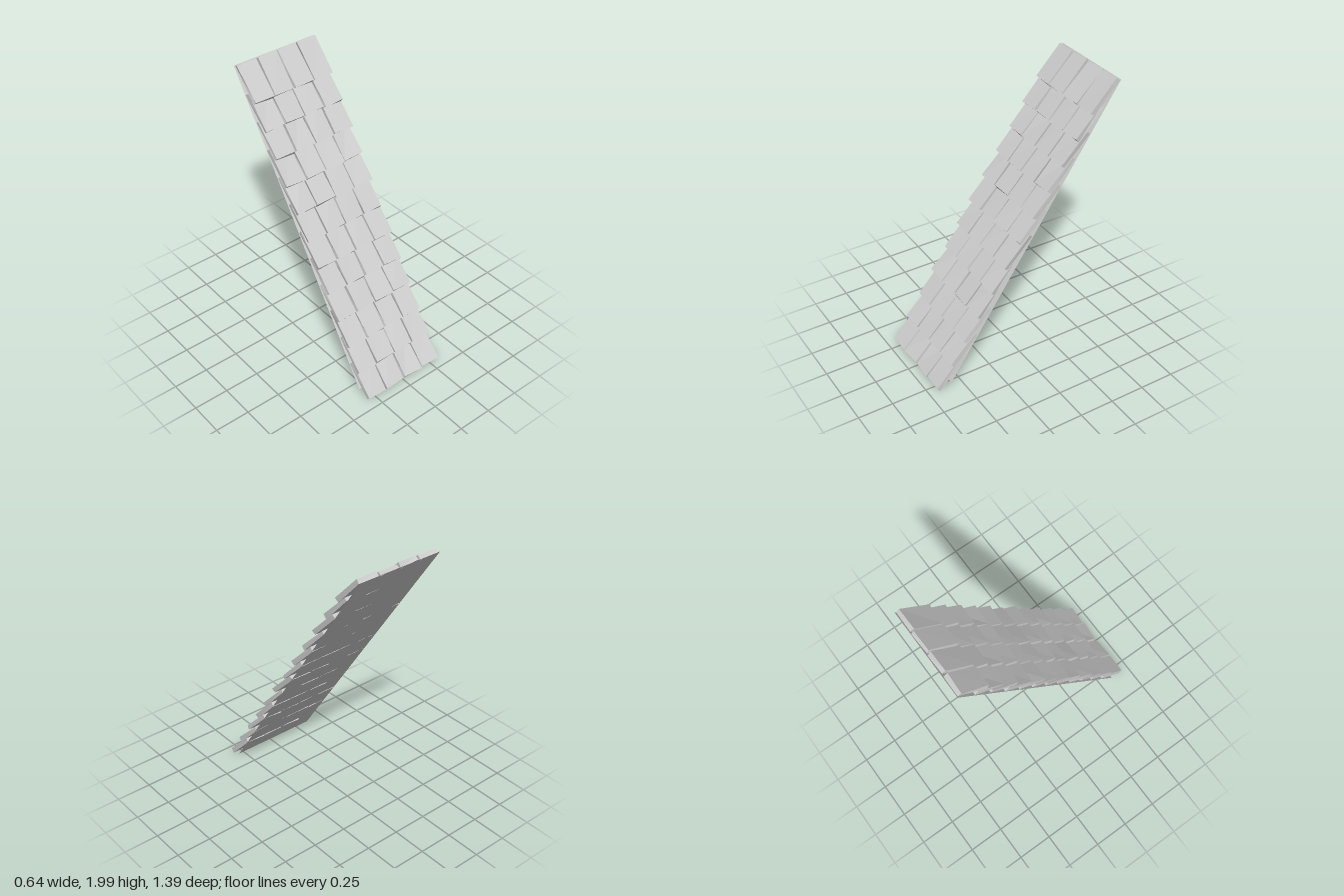
import * as THREE from 'three';

const COLS = 4, ROWS = 12, PITCH_X = 0.16;
const TILE = { width: 0.148, thickness: 0.03, length: 0.272 };
const TILT = THREE.MathUtils.degToRad(46);

// Small seeded generator giving values from -1 to 1
function makeJitter(seed) {
  let s = seed;
  return () => {
    s = (s * 16807) % 2147483647;
    return (s / 2147483647) * 2 - 1;
  };
}

// Box whose eight corners are nudged to look hand cut
function tileGeometry(jitter) {
  const geo = new THREE.BoxGeometry(TILE.width, TILE.thickness, TILE.length);
  const pos = geo.attributes.position;
  const nudges = {};
  for (let i = 0; i < pos.count; i++) {
    const x = pos.getX(i), y = pos.getY(i), z = pos.getZ(i);
    const key = [x > 0, y > 0, z > 0].join();
    nudges[key] ??= [jitter() * 0.005, jitter() * 0.005, jitter() * 0.006];
    const [dx, dy, dz] = nudges[key];
    pos.setXYZ(i, x + dx, y + dy, z + dz);
  }
  geo.computeVertexNormals();
  return geo;
}

export function createModel() {
  const group = new THREE.Group();
  group.name = 'roofPanel';
  const material = new THREE.MeshStandardMaterial({ color: 0xcccccc, flatShading: true });

  // Thin sloping sheet behind the tiles
  const top = { y: 1.98, z: -0.69 }, bottom = { y: 0.055, z: 0.59 };
  const rise = top.y - bottom.y, run = bottom.z - top.z;
  const sheetMaterial = material.clone();
  sheetMaterial.side = THREE.DoubleSide;
  const sheet = new THREE.Mesh(new THREE.PlaneGeometry(0.64, Math.hypot(rise, run)), sheetMaterial);
  sheet.name = 'backingSheet';
  sheet.position.set(0, (top.y + bottom.y) / 2, (top.z + bottom.z) / 2);
  sheet.rotation.x = -Math.atan2(run, rise);
  group.add(sheet);

  // Overlapping rows of tiles, each lying flatter than the sheet
  const jitter = makeJitter(4711);
  for (let row = 0; row < ROWS; row++) {
    const course = new THREE.Group();
    course.name = `tileRow${row + 1}`;
    course.position.set(0, 0.125 + row * 0.16, 0.586 - row * 0.1057);
    course.rotation.x = TILT;
    for (let col = 0; col < COLS; col++) {
      const tile = new THREE.Mesh(tileGeometry(jitter), material);
      tile.name = 'tile';
      tile.position.x = (col - (COLS - 1) / 2) * PITCH_X;
      course.add(tile);
    }
    group.add(course);
  }
  return group;
}
